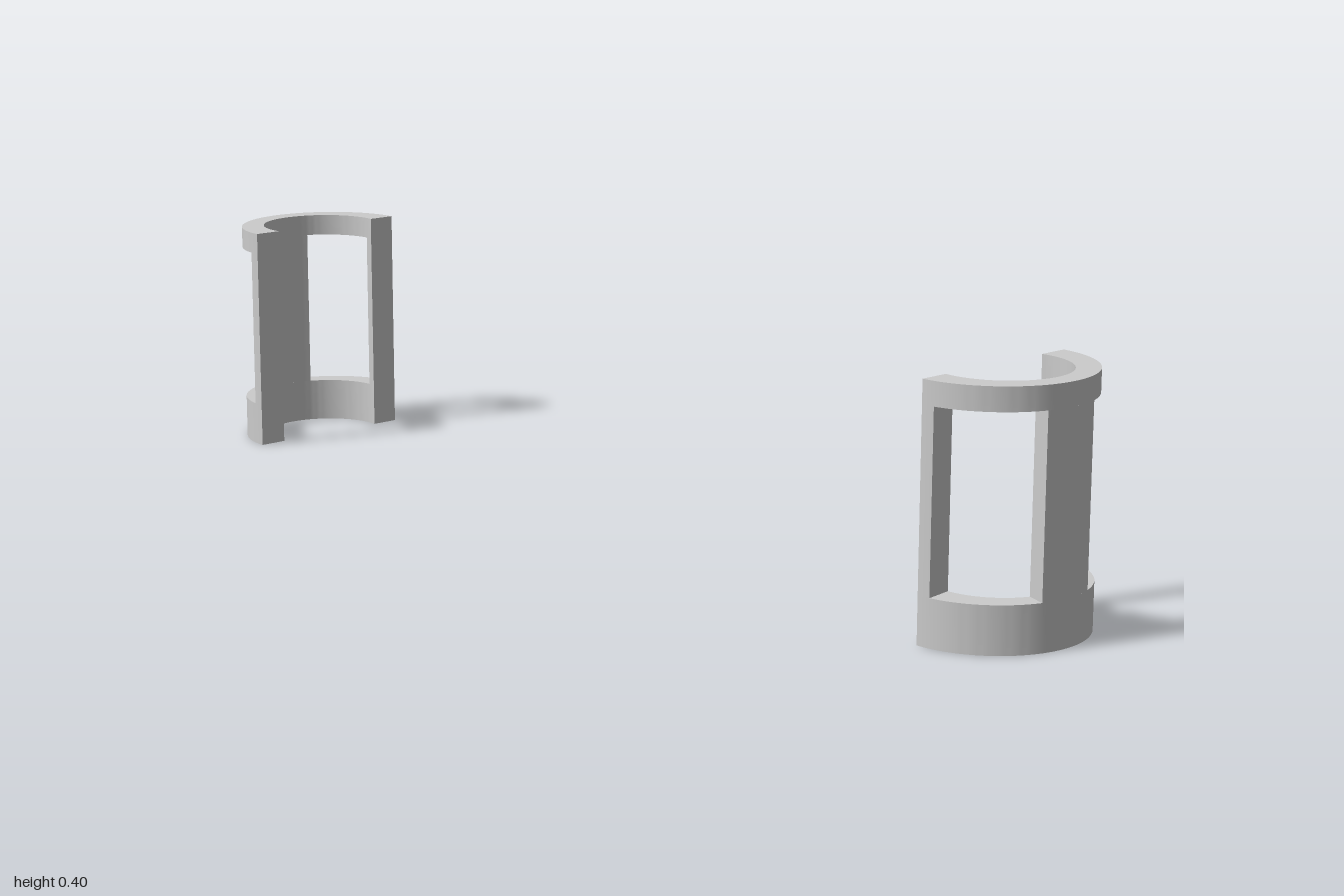
import * as THREE from 'three';
import { toCreasedNormals } from 'three/addons/utils/BufferGeometryUtils.js';

const HEIGHT = 0.403, SILL = 0.077, LINTEL = 0.365;
const OUTER = 0.157;            // outer wall radius
const BORE = 0.108, SHIFT = 0.014; // bore radius and its offset towards the crown
const rad = THREE.MathUtils.degToRad;

// Distance from the outer centre to the bore along angle a
const boreAt = (a) => SHIFT * Math.sin(a) + Math.sqrt(BORE ** 2 - (SHIFT * Math.cos(a)) ** 2);

// Upright slice of the curved wall between two angles and two heights
function wall(name, from, to, y0, y1, material) {
  const steps = Math.max(3, Math.round((to - from) / 3));
  const outer = [], inner = [];
  for (let i = 0; i <= steps; i++) {
    const a = rad(from + ((to - from) * i) / steps);
    const r = boreAt(a);
    outer.push(new THREE.Vector2(Math.cos(a) * OUTER, Math.sin(a) * OUTER));
    inner.unshift(new THREE.Vector2(Math.cos(a) * r, Math.sin(a) * r));
  }
  const shape = new THREE.Shape([...outer, ...inner]);
  const geometry = new THREE.ExtrudeGeometry(shape, { depth: y1 - y0, bevelEnabled: false });
  geometry.rotateX(-Math.PI / 2).translate(0, y0, 0);
  const mesh = new THREE.Mesh(toCreasedNormals(geometry, rad(30)), material);
  mesh.name = name;
  return mesh;
}

// Half sleeve with two windows, crown towards -z
function halfSleeve(name, material) {
  const sleeve = new THREE.Group();
  sleeve.name = name;
  const legAngle = 8, postAngle = 19;
  sleeve.add(
    wall('lowerBand', 0, 180, 0, SILL, material),
    wall('upperBand', 0, 180, LINTEL, HEIGHT, material),
    wall('leftLeg', 0, legAngle, SILL, LINTEL, material),
    wall('centrePost', 90 - postAngle, 90 + postAngle, SILL, LINTEL, material),
    wall('rightLeg', 180 - legAngle, 180, SILL, LINTEL, material),
  );
  return sleeve;
}

export function createModel() {
  const model = new THREE.Group();
  model.name = 'splitSleeve';
  const material = new THREE.MeshStandardMaterial({ color: 0xcccccc });

  // Two facing halves, slightly offset sideways
  const back = halfSleeve('backHalf', material);
  back.position.set(0.006, 0, -0.843);
  const front = halfSleeve('frontHalf', material);
  front.position.set(-0.006, 0, 0.843);
  front.rotation.y = Math.PI;
  model.add(back, front);
  return model;
}
